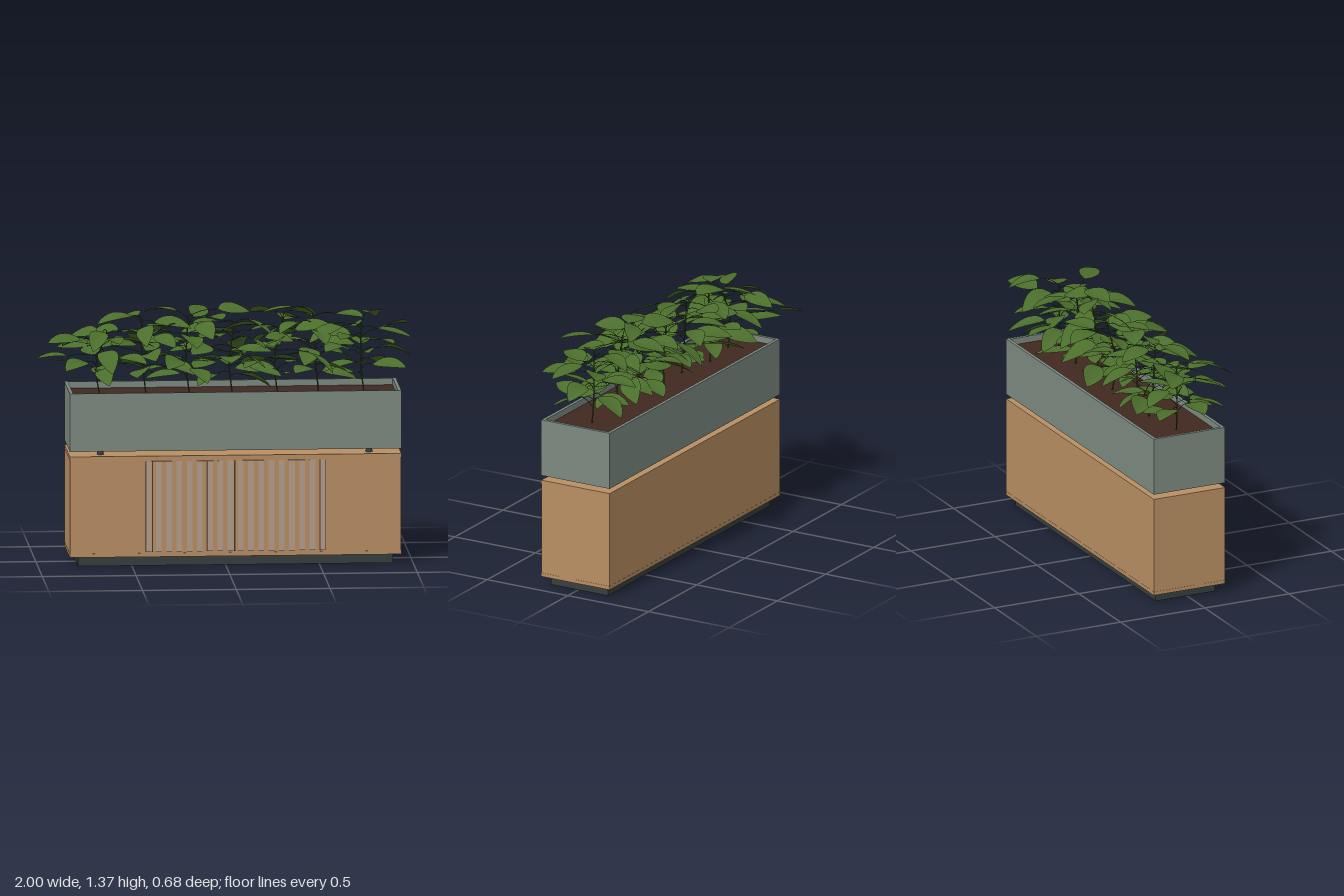
import * as THREE from 'three';
import { mergeGeometries } from 'three/addons/utils/BufferGeometryUtils.js';

const mat = (name, color, side = THREE.FrontSide) => {
  const m = new THREE.MeshStandardMaterial({ color, side });
  m.name = name;
  return m;
};

// small seeded generator for natural variation
function seeded(seed) {
  return (a = 0, b = 1) => {
    seed = (seed * 16807) % 2147483647;
    return a + (b - a) * (seed / 2147483647);
  };
}

// curved pointed leaf: base point, heading, length, half width, rise, droop, roll
function leafGeometry(base, yaw, len, half, rise, droop, roll) {
  const d = new THREE.Vector3(Math.cos(yaw), 0, Math.sin(yaw));
  const s = new THREE.Vector3(d.z, roll, -d.x).normalize();
  const rows = 9, cols = 4, pos = [], idx = [];
  for (let i = 0; i <= rows; i++) {
    const t = i / rows;
    const w = half * Math.pow(Math.max(0, Math.sin(Math.PI * Math.pow(t, 0.8))), 0.8);
    for (let j = 0; j <= cols; j++) {
      const u = (j / cols) * 2 - 1;
      const p = base.clone().addScaledVector(d, len * t).addScaledVector(s, w * u);
      p.y += rise * t - droop * t * t + Math.abs(u) * w * 0.15;
      pos.push(p.x, p.y, p.z);
      if (i < rows && j < cols) {
        const a = i * (cols + 1) + j, b = a + cols + 1;
        idx.push(a, b, b + 1, a, b + 1, a + 1);
      }
    }
  }
  const g = new THREE.BufferGeometry();
  g.setAttribute('position', new THREE.Float32BufferAttribute(pos, 3));
  g.setIndex(idx);
  g.computeVertexNormals();
  return g;
}

export function createModel() {
  const root = new THREE.Group();
  root.name = 'planterCabinet';

  const wood = mat('wood', 0xb98f63);
  const slatGrey = mat('slatGrey', 0xb49f8c);
  const seamDark = mat('seamDark', 0x4a3a2a);
  const planterGreen = mat('planterGreen', 0x7c8a80);
  const charcoal = mat('charcoal', 0x363e3d);
  const soilBrown = mat('soilBrown', 0x402820);
  const leafGreen = mat('leafGreen', 0x4b6e2c, THREE.DoubleSide);
  const stemGreen = mat('stemGreen', 0x3a4c22);

  const add = (parent, name, geo, material) => {
    const m = new THREE.Mesh(geo, material);
    m.name = name;
    parent.add(m);
    return m;
  };
  // box given by its limits
  const box = (parent, name, material, x0, x1, y0, y1, z0, z1) => {
    const m = add(parent, name, new THREE.BoxGeometry(x1 - x0, y1 - y0, z1 - z0), material);
    m.position.set((x0 + x1) / 2, (y0 + y1) / 2, (z0 + z1) / 2);
  };

  const X0 = -0.833, X1 = 0.935, Z0 = -0.22, Z1 = 0.204;

  // cabinet with base and top boards
  const cabinet = new THREE.Group();
  cabinet.name = 'cabinet';
  root.add(cabinet);
  box(cabinet, 'plinth', charcoal, -0.786, 0.892, 0, 0.052, -0.185, 0.168);
  box(cabinet, 'bottomBoard', wood, X0, X1, 0.052, 0.072, Z0, Z1);
  box(cabinet, 'body', wood, X0 + 0.001, X1 - 0.001, 0.072, 0.574, Z0 + 0.001, Z1 - 0.001);
  box(cabinet, 'topBoard', wood, X0, X1, 0.574, 0.595, Z0, Z1);

  // slatted doors: alternating grey and wood strips
  const slats = new THREE.Group();
  slats.name = 'slattedFront';
  cabinet.add(slats);
  const pitch = 0.0546;
  for (let i = 0; i < 18; i++) {
    const x = -0.428 + i * pitch;
    box(slats, 'greySlat', slatGrey, x, x + 0.03, 0.08, 0.567, 0.2, 0.211);
    if (i < 17) box(slats, 'woodSlat', wood, x + 0.03, x + pitch, 0.08, 0.567, 0.2, 0.209);
  }
  for (const x of [-0.392, 0.046, 0.5]) {
    box(slats, 'doorSeam', seamDark, x - 0.003, x + 0.003, 0.08, 0.567, 0.204, 0.2125);
  }

  // spacer feet under the trough
  for (const x of [-0.665, 0.768]) for (const z of [-0.14, 0.125]) {
    const foot = add(root, 'spacerFoot', new THREE.CylinderGeometry(0.014, 0.019, 0.03, 16), charcoal);
    foot.position.set(x, 0.609, z);
  }

  // open trough with floor, walls and soil
  const trough = new THREE.Group();
  trough.name = 'trough';
  root.add(trough);
  const wall = 0.018, yb = 0.622, yt = 0.935;
  box(trough, 'troughFloor', planterGreen, X0, X1, yb, yb + 0.02, Z0, Z1);
  box(trough, 'frontWall', planterGreen, X0, X1, yb + 0.02, yt, Z1 - wall, Z1);
  box(trough, 'backWall', planterGreen, X0, X1, yb + 0.02, yt, Z0, Z0 + wall);
  box(trough, 'leftWall', planterGreen, X1 - wall, X1, yb + 0.02, yt, Z0 + wall, Z1 - wall);
  box(trough, 'rightWall', planterGreen, X0, X0 + wall, yb + 0.02, yt, Z0 + wall, Z1 - wall);
  box(trough, 'soil', soilBrown, X0 + wall, X1 - wall, yb + 0.02, 0.9, Z0 + wall, Z1 - wall);

  // plants: [x, z, stem top height]
  const plants = [
    [-0.66, 0.0, 1.24], [-0.41, -0.04, 1.3], [-0.18, 0.0, 1.31], [0.05, -0.03, 1.27],
    [0.29, 0.0, 1.31], [0.51, -0.02, 1.32], [0.75, 0.0, 1.27],
  ];
  const outward = 7;
  plants.forEach(([px, pz, top], k) => {
    const rnd = seeded(4321 + k * 977);
    const plant = new THREE.Group();
    plant.name = 'plant';
    root.add(plant);
    const stem = new THREE.CatmullRomCurve3([
      new THREE.Vector3(px, 0.89, pz),
      new THREE.Vector3(px + rnd(-0.02, 0.02), 1.05, pz + rnd(-0.02, 0.02)),
      new THREE.Vector3(px + rnd(-0.04, 0.04), top, pz + rnd(-0.03, 0.03)),
    ]);
    const stalks = [new THREE.TubeGeometry(stem, 8, 0.004, 6)];
    const leaves = [];
    const count = 18;
    // each end plant has one leaf pointing straight outwards
    const start = k === 0 ? Math.PI : k === 6 ? 0 : rnd(0, 6.28);
    for (let i = 0; i < count; i++) {
      const f = i / (count - 1);
      const yaw = start + (i - outward) * 2.4 + (i === outward ? 0 : rnd(-0.25, 0.25));
      const c = Math.cos(yaw), s = Math.sin(yaw);
      const from = stem.getPoint(0.3 + 0.7 * Math.pow(f, 0.8));
      // keep the foliage inside the overall outline
      const limX = (1 - from.x * Math.sign(c)) / Math.max(Math.abs(c), 0.01);
      const limZ = (0.34 - from.z * Math.sign(s)) / Math.max(Math.abs(s), 0.01);
      const wish = i === outward ? 0.6 : rnd(0.2, 0.35);
      const reach = Math.min(wish, limX, limZ);
      const len = Math.min(rnd(0.17, 0.215), reach * 0.85);
      const base = from.clone();
      base.x += c * (reach - len);
      base.z += s * (reach - len);
      base.y += rnd(0, 0.04);
      const mid = from.clone().lerp(base, 0.5);
      mid.y += 0.012;
      stalks.push(new THREE.TubeGeometry(new THREE.CatmullRomCurve3([from, mid, base]), 4, 0.002, 5));
      leaves.push(leafGeometry(base, yaw, len, rnd(0.05, 0.062),
        rnd(-0.02, 0.06), rnd(0.02, 0.08), rnd(-0.5, 0.5)));
    }
    add(plant, 'stems', mergeGeometries(stalks), stemGreen);
    add(plant, 'leaves', mergeGeometries(leaves), leafGreen);
  });

  return root;
}
